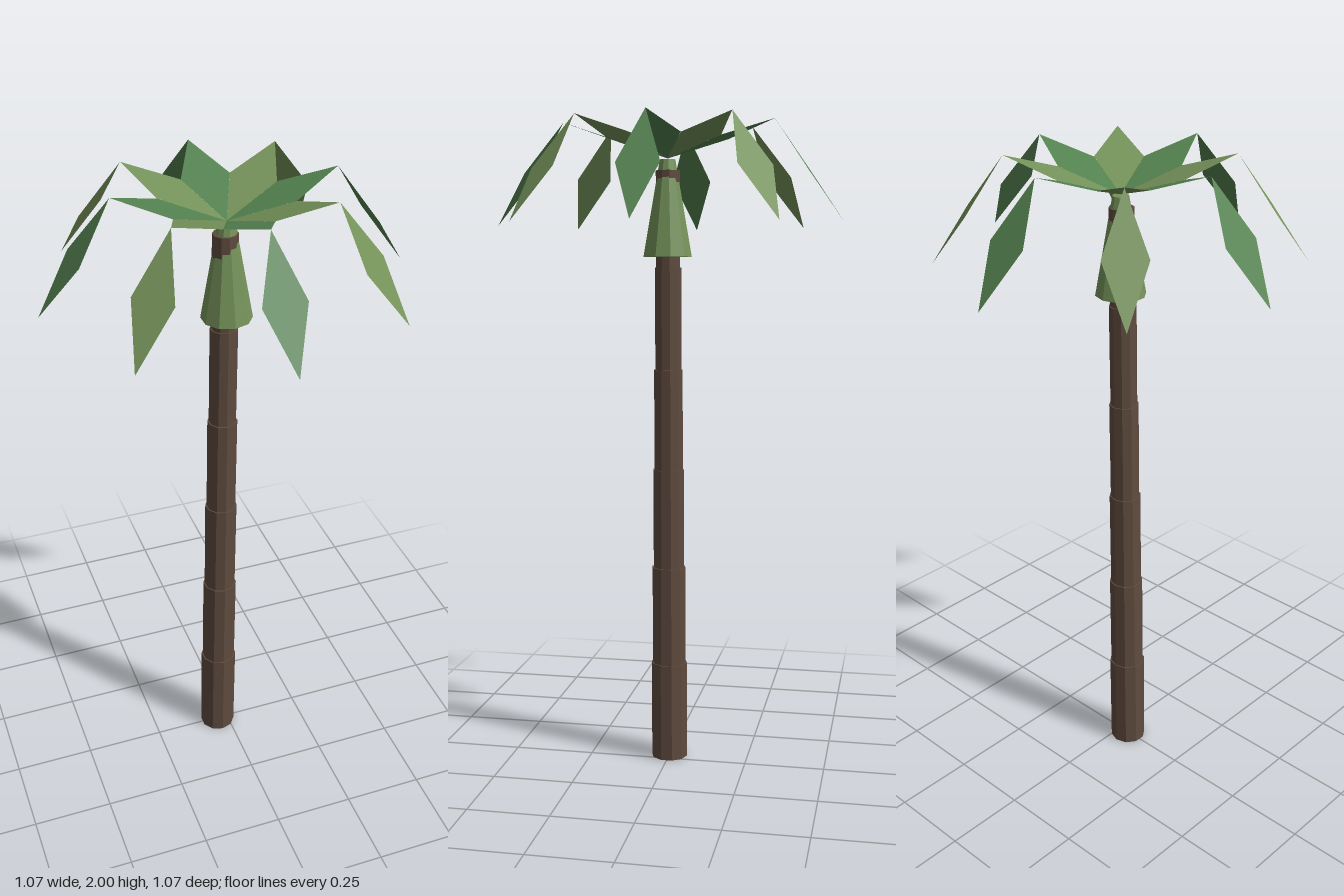
import * as THREE from 'three';

const material = (color, side = THREE.FrontSide) =>
  new THREE.MeshStandardMaterial({ color, side, flatShading: true });

// Flat diamond leaf running outward along +z, from (r0, y0) to (r1, y1)
function leafGeometry(r0, y0, r1, y1, rSide, halfWidth) {
  const ySide = y0 + ((y1 - y0) * (rSide - r0)) / (r1 - r0);
  const geometry = new THREE.BufferGeometry();
  geometry.setAttribute('position', new THREE.Float32BufferAttribute([
    0, y0, r0,
    halfWidth, ySide, rSide,
    0, y1, r1,
    -halfWidth, ySide, rSide,
  ], 3));
  geometry.setIndex([0, 2, 1, 0, 3, 2]);
  geometry.computeVertexNormals();
  return geometry;
}

export function createModel() {
  const model = new THREE.Group();
  model.name = 'palmTree';
  const sides = 10;

  // Leaning trunk: stacked segments, each a little thinner than the one below
  const bark = material(0x5f4b3e);
  const trunk = new THREE.Group();
  trunk.name = 'trunk';
  const segmentHeight = 0.3125;
  const lean = 0.0172;
  for (let i = 0; i < 6; i++) {
    const height = i < 5 ? segmentHeight : 0.29;
    const radius = 0.057 - i * 0.004;
    const geometry = new THREE.CylinderGeometry(radius, radius, height, sides);
    geometry.translate(0, height / 2 + i * segmentHeight, 0);
    // Shear sideways so the segments follow the lean with level ends
    const p = geometry.attributes.position;
    for (let v = 0; v < p.count; v++) p.setX(v, p.getX(v) - 0.035 + lean * p.getY(v));
    const segment = new THREE.Mesh(geometry, bark);
    segment.name = `trunkSegment${i + 1}`;
    trunk.add(segment);
  }
  model.add(trunk);

  // Flared sheath under the fronds
  const sheath = new THREE.Mesh(
    new THREE.CylinderGeometry(0.024, 0.075, 0.29, sides), material(0x75925a));
  sheath.name = 'crownSheath';
  sheath.position.y = 1.595 + 0.145;
  model.add(sheath);

  // Eight fronds in two alternating greens: rising inner leaf, drooping outer leaf
  const greens = [0x548250, 0x75925a].map((c) => material(c, THREE.DoubleSide));
  const inner = leafGeometry(0, 1.888, 0.323, 2, 0.174, 0.072);
  const outer = leafGeometry(0.323, 2, 0.537, 1.69, 0.43, 0.0625);
  const crown = new THREE.Group();
  crown.name = 'crown';
  for (let i = 0; i < 8; i++) {
    const frond = new THREE.Group();
    frond.name = `frond${i + 1}`;
    const innerLeaf = new THREE.Mesh(inner, greens[i % 2]);
    innerLeaf.name = 'innerLeaf';
    const outerLeaf = new THREE.Mesh(outer, greens[i % 2]);
    outerLeaf.name = 'outerLeaf';
    frond.add(innerLeaf, outerLeaf);
    frond.rotation.y = (i * Math.PI) / 4;
    crown.add(frond);
  }
  model.add(crown);
  return model;
}
